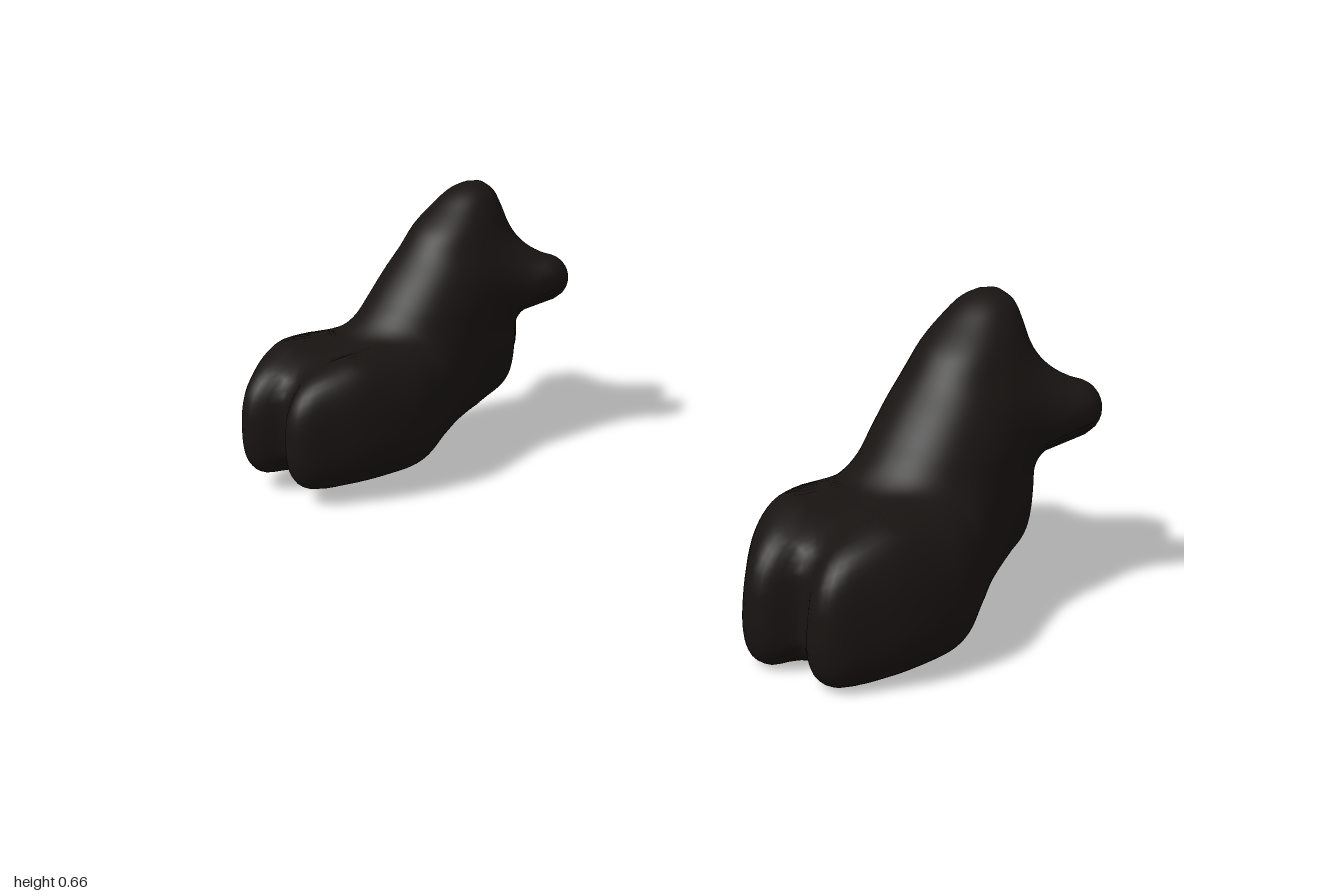
import * as THREE from 'three';
import { mergeVertices } from 'three/addons/utils/BufferGeometryUtils.js';

const material = new THREE.MeshStandardMaterial({ color: 0x181412, roughness: 1 });

// Smooth lookup of a section table by its first column, with signed distance past its ends
function sections(rows) {
  const curve = new THREE.CubicInterpolant(rows.map(r => r[0]), rows.flat(), rows[0].length);
  const first = rows[0][0], last = rows[rows.length - 1][0];
  return t => ({
    row: curve.evaluate(THREE.MathUtils.clamp(t, first, last)),
    end: Math.max(first - t, t - last),
  });
}

// Ankle: y, back z, front z, half width
const ankleAt = sections([
  [0.09, -0.26, -0.04, 0.09], [0.14, -0.325, 0.03, 0.125], [0.2, -0.36, 0.07, 0.147],
  [0.3, -0.383, 0.1, 0.16], [0.35, -0.391, 0.075, 0.16], [0.4, -0.391, 0.03, 0.154],
  [0.45, -0.386, -0.015, 0.143], [0.5, -0.376, -0.062, 0.127], [0.56, -0.36, -0.11, 0.106],
  [0.61, -0.342, -0.175, 0.08], [0.645, -0.326, -0.225, 0.053], [0.661, -0.307, -0.26, 0.025],
]);

// Solid hoof: z, half width, bottom y, top y
const hoofAt = sections([
  [-0.34, 0.07, 0.16, 0.3], [-0.28, 0.125, 0.1, 0.34], [-0.2, 0.146, 0.075, 0.355],
  [-0.05, 0.185, 0.047, 0.35], [0.05, 0.217, 0.023, 0.33], [0.12, 0.229, 0.012, 0.313],
  [0.22, 0.21, 0.009, 0.304], [0.3, 0.165, 0.016, 0.285], [0.35, 0.105, 0.035, 0.255],
  [0.365, 0.05, 0.07, 0.22],
]);

// Toe: z, centre x, half width, bottom y, top y
const toeAt = sections([
  [0.0, 0.09, 0.07, 0.08, 0.25], [0.06, 0.1, 0.105, 0.03, 0.295],
  [0.12, 0.108, 0.123, 0.01, 0.312], [0.2, 0.106, 0.115, 0.004, 0.323],
  [0.25, 0.1, 0.108, 0.002, 0.325], [0.3, 0.093, 0.096, 0.002, 0.31],
  [0.36, 0.081, 0.071, 0.004, 0.282], [0.395, 0.079, 0.049, 0.018, 0.25],
  [0.415, 0.078, 0.03, 0.055, 0.215], [0.424, 0.077, 0.015, 0.1, 0.18],
]);

// Approximate distance to a rounded section of half sizes w and h
function sectionDistance(u, v, w, h, power) {
  const norm = (Math.abs(u / w) ** power + Math.abs(v / h) ** power) ** (1 / power);
  return (norm - 1) * Math.min(w, h);
}

function ankle({ x, y, z }) {
  const { row: [, back, front, w], end } = ankleAt(y);
  return Math.max(sectionDistance(x, z - (back + front) / 2, w, (front - back) / 2, 2.1), end);
}

// Hoof and toe sections lean inward towards the top
function leaningSection(u, y, w, low, high, power) {
  const h = (high - low) / 2, v = y - (low + high) / 2;
  return sectionDistance(u, v, w * (1 - 0.1 * THREE.MathUtils.clamp(v / h, -1, 1)), h, power);
}

function hoof({ x, y, z }) {
  const { row: [, w, low, high], end } = hoofAt(z);
  return Math.max(leaningSection(x, y, w, low, high, 2.7), end);
}

function toe({ x, y, z }) {
  const { row: [, cx, w, low, high], end } = toeAt(z);
  return Math.max(leaningSection(Math.abs(x) - cx, y, w, low, high, 2.5), end);
}

// Dewclaw: a tapered round peg on each side
const CLAW_ROOT = new THREE.Vector3(0.05, 0.42, -0.27);
const CLAW_AXIS = new THREE.Vector3(0.172, 0.415, -0.358).sub(CLAW_ROOT);
function dewclaw({ x, y, z }) {
  const p = new THREE.Vector3(Math.abs(x), y, z).sub(CLAW_ROOT);
  const t = THREE.MathUtils.clamp(p.dot(CLAW_AXIS) / CLAW_AXIS.lengthSq(), 0, 1);
  return p.addScaledVector(CLAW_AXIS, -t).length() - THREE.MathUtils.lerp(0.115, 0.064, t);
}

// Union of two shapes with a fillet of size k
function blend(a, b, k) {
  const h = Math.max(k - Math.abs(a - b), 0) / k;
  return Math.min(a, b) - h * h * k / 4;
}

function footDistance(p) {
  const base = blend(hoof(p), toe(p), 0.025);
  return blend(blend(base, ankle(p), 0.04), dewclaw(p), 0.06);
}

// Shrinks a sphere onto the blended foot, ray by ray from the core
function footGeometry() {
  const sphere = new THREE.IcosahedronGeometry(1, 40);
  sphere.deleteAttribute('uv');
  sphere.deleteAttribute('normal');
  const geometry = mergeVertices(sphere, 1e-4);
  const core = new THREE.Vector3(0, 0.27, -0.1);
  const position = geometry.attributes.position;
  const direction = new THREE.Vector3(), p = new THREE.Vector3();
  for (let i = 0; i < position.count; i++) {
    direction.fromBufferAttribute(position, i).normalize();
    const inside = r => footDistance(p.copy(core).addScaledVector(direction, r)) < 0;
    let r = 0.7;
    while (r > 0.02 && !inside(r)) r -= 0.01;
    let low = r, high = r + 0.01;
    for (let n = 0; n < 10; n++) {
      const mid = (low + high) / 2;
      if (inside(mid)) low = mid; else high = mid;
    }
    p.copy(core).addScaledVector(direction, low);
    position.setXYZ(i, p.x, p.y, p.z);
  }
  geometry.computeVertexNormals();
  return geometry;
}

export function createModel() {
  const model = new THREE.Group();
  model.name = 'hooves';
  const geometry = footGeometry();

  const left = new THREE.Mesh(geometry, material);
  left.name = 'leftHoof';
  left.position.x = 0.762;

  // The right hoof sits slightly higher, shallower and rolled
  const right = new THREE.Mesh(geometry, material);
  right.name = 'rightHoof';
  right.position.set(-0.767, 0.034, 0);
  right.scale.y = 0.945;
  right.rotation.z = -0.02;

  model.add(left, right);
  return model;
}
